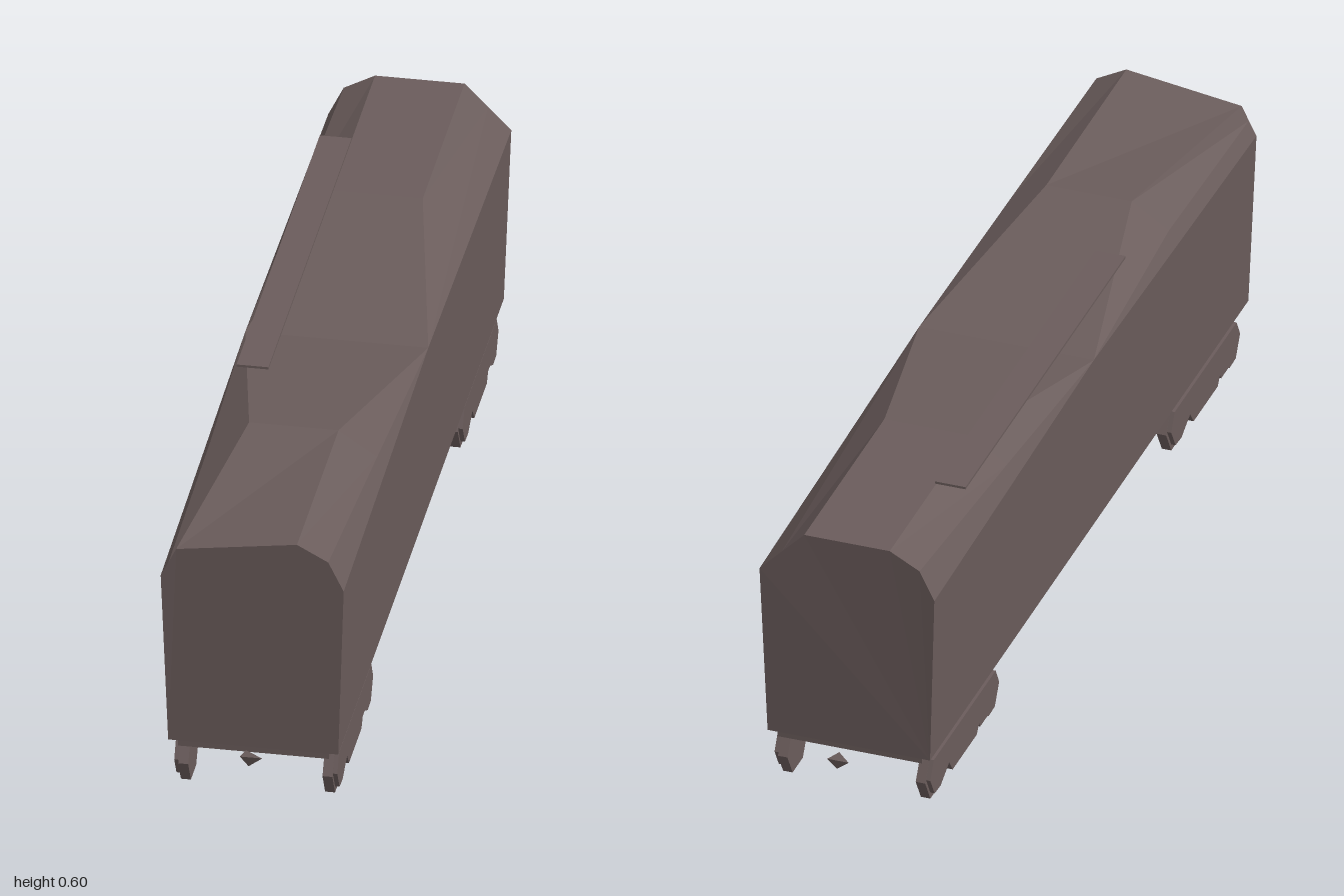
import * as THREE from 'three';
import { ConvexGeometry } from 'three/addons/geometries/ConvexGeometry.js';

const paint = new THREE.MeshStandardMaterial({ color: 0x6a5c5b });
paint.name = 'dull brown';

// Faceted mesh: every face keeps its own normal
function part(name, geometry) {
  const g = geometry.index ? geometry.toNonIndexed() : geometry;
  g.computeVertexNormals();
  const mesh = new THREE.Mesh(g, paint);
  mesh.name = name;
  return mesh;
}

// Skin closed cross-sections (arrays of Vector3), front to back, with end caps
function loft(sections) {
  const points = [];
  const n = sections[0].length;
  for (let i = 0; i < sections.length - 1; i++) {
    for (let j = 0; j < n; j++) {
      const k = (j + 1) % n;
      const a = sections[i][j], b = sections[i][k];
      const c = sections[i + 1][k], d = sections[i + 1][j];
      points.push(a, b, c, a, c, d);
    }
  }
  const front = sections[0], back = sections[sections.length - 1];
  for (let j = 1; j < n - 1; j++) {
    points.push(front[0], front[j + 1], front[j]);
    points.push(back[0], back[j], back[j + 1]);
  }
  return new THREE.BufferGeometry().setFromPoints(points);
}

// Cross-section: bottom, shoulder, corner, top on -x, then mirrored order on +x
function section(z, shoulderY, cornerL, topL, topR, cornerR) {
  const outline = [[-0.171, 0.136], [-0.184, shoulderY], cornerL, topL,
    topR, cornerR, [0.184, shoulderY], [0.171, 0.136]];
  return outline.map(([x, y], i) =>
    new THREE.Vector3(x, y, i === 0 || i === 7 ? z * 0.988 : z));
}

// Body with a roof that dips in the middle
function createBody() {
  return part('carBody', loft([
    section(0.945, 0.515, [-0.168, 0.547], [-0.153, 0.578], [0.09, 0.612], [0.153, 0.578]),
    section(0.48, 0.527, [-0.168, 0.56], [-0.09, 0.612], [0.09, 0.612], [0.168, 0.56]),
    section(0, 0.54, [-0.184, 0.54], [-0.184, 0.54], [0.184, 0.54], [0.184, 0.54]),
    section(-0.46, 0.527, [-0.168, 0.56], [-0.09, 0.612], [0.09, 0.612], [0.16, 0.552]),
    section(-0.927, 0.515, [-0.153, 0.578], [-0.09, 0.612], [0.09, 0.612], [0.137, 0.564]),
  ]));
}

// Bogie: notched side frames, six-sided wheels and a cross beam
function createBogie(z) {
  const bogie = new THREE.Group();
  bogie.name = 'bogie';
  const frameShape = new THREE.Shape([
    [-0.2, 0.075], [-0.175, 0.032], [-0.14, 0.03], [-0.09, 0.055], [-0.07, 0.027],
    [0.07, 0.027], [0.09, 0.055], [0.14, 0.03], [0.175, 0.032], [0.2, 0.075],
    [0.18, 0.112], [-0.18, 0.112],
  ].map(([x, y]) => new THREE.Vector2(x, y)));
  for (const side of [-1, 1]) {
    const frameGeometry = new THREE.ExtrudeGeometry(frameShape, { depth: 0.015, bevelEnabled: false });
    frameGeometry.rotateY(Math.PI / 2);
    const frame = part('sideFrame', frameGeometry);
    frame.position.x = side > 0 ? 0.149 : -0.164;
    bogie.add(frame);
    for (const end of [-1, 1]) {
      const wheelGeometry = new THREE.CylinderGeometry(0.06, 0.06, 0.02, 6);
      wheelGeometry.rotateZ(Math.PI / 2);
      const wheel = part('wheel', wheelGeometry);
      wheel.position.set(side * 0.145, 0.07, end * 0.145);
      bogie.add(wheel);
    }
  }
  const beam = part('crossBeam', new THREE.BoxGeometry(0.3, 0.06, 0.05));
  beam.position.y = 0.08;
  bogie.add(beam);
  bogie.position.z = z;
  return bogie;
}

// Wedge-shaped coupler, pointing along +z
function createCoupler() {
  return part('coupler', new ConvexGeometry([
    new THREE.Vector3(-0.015, 0.15, 1),
    new THREE.Vector3(0.03, 0.15, 1),
    new THREE.Vector3(0, 0.121, 0.985),
    new THREE.Vector3(-0.015, 0.125, 0.93),
  ]));
}

export function createModel() {
  const model = new THREE.Group();
  model.name = 'railCar';
  model.add(createBody());

  // Underframe below the floor
  const underframe = part('underframe', new THREE.BoxGeometry(0.304, 0.016, 1.84));
  underframe.position.set(0, 0.13, 0.01);
  model.add(underframe);

  // Thin walkway above one side of the roof
  const walkway = part('roofWalkway', new THREE.BoxGeometry(0.064, 0.005, 0.93));
  walkway.position.set(-0.121, 0.617, -0.195);
  model.add(walkway);

  model.add(createBogie(0.705), createBogie(-0.695));

  const frontCoupler = createCoupler();
  const rearCoupler = createCoupler();
  rearCoupler.rotation.y = Math.PI;
  model.add(frontCoupler, rearCoupler);
  return model;
}
